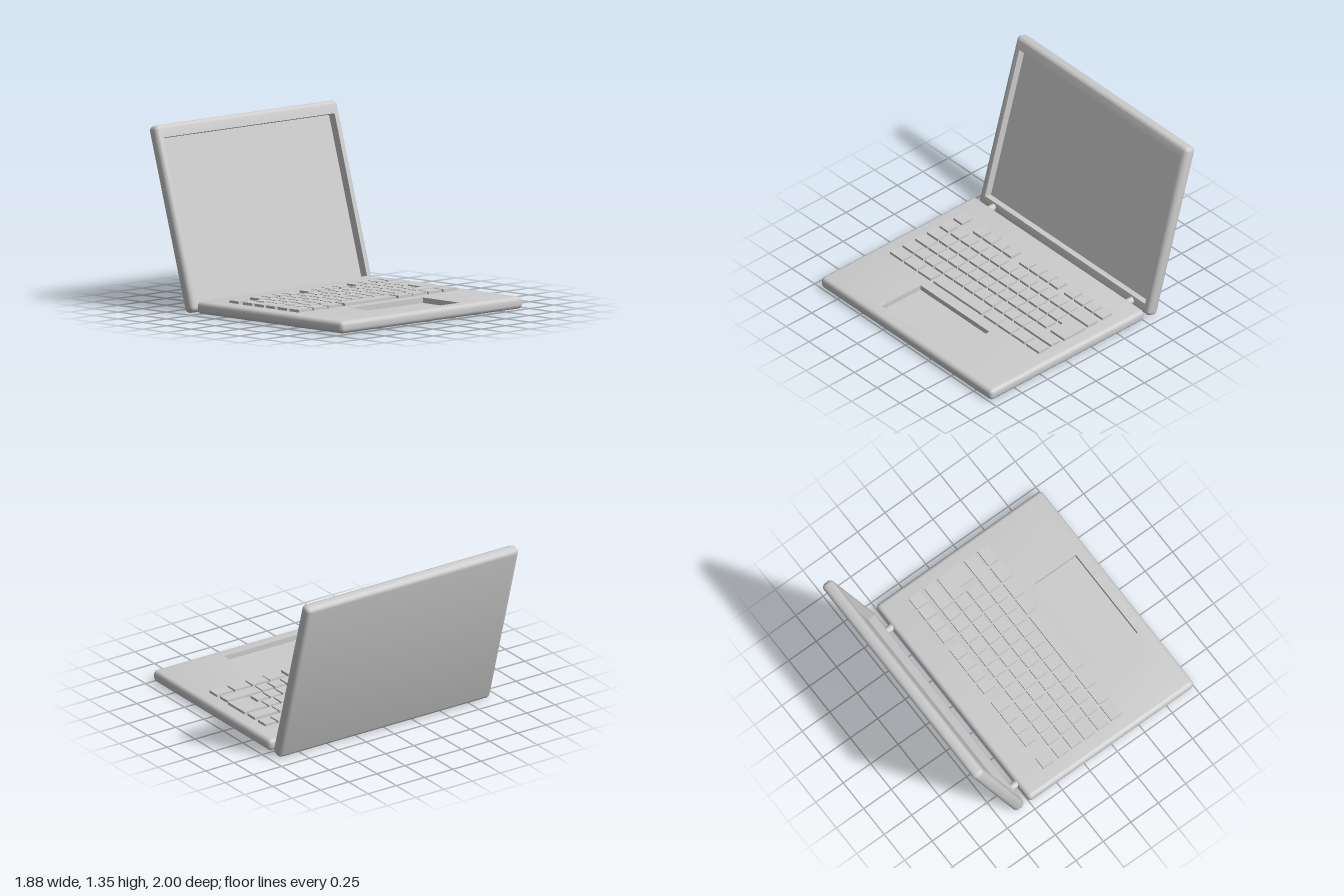
import * as THREE from 'three';
import { toCreasedNormals } from 'three/addons/utils/BufferGeometryUtils.js';

const material = new THREE.MeshStandardMaterial({ color: 0xcccccc });

function addMesh(parent, geometry, name, x = 0, y = 0, z = 0) {
  const mesh = new THREE.Mesh(geometry, material);
  mesh.name = name;
  mesh.position.set(x, y, z);
  parent.add(mesh);
  return mesh;
}

// Closed rounded-rectangle loop; halfX and halfZ reach the corner centres.
function ring(cz, halfX, halfZ, radius, y) {
  const points = [], steps = 4;
  for (let k = 0; k < 4; k++) {
    const sx = k === 0 || k === 3 ? 1 : -1, sz = k < 2 ? 1 : -1;
    for (let s = 0; s <= steps; s++) {
      const a = (k + s / steps) * Math.PI / 2;
      points.push(new THREE.Vector3(
        sx * halfX + radius * Math.cos(a), y, cz + sz * halfZ + radius * Math.sin(a)));
    }
  }
  return points;
}

// Rounded slab, centred, with a rectangular recess in its top face.
function recessedSlab(width, height, depth, r, recess) {
  const hx = width / 2 - r, hz = depth / 2 - r, hy = height / 2, steps = 4;
  const rings = [ring(0, 0, 0, 0, -hy)];
  for (const side of [-1, 1]) {
    for (let i = 0; i <= steps; i++) {
      const a = (side < 0 ? i - steps : i) / steps * Math.PI / 2;
      rings.push(ring(0, hx, hz, r * Math.cos(a), side * (hy - r) + r * Math.sin(a)));
    }
  }
  const { z, halfX, halfZ, drop } = recess;
  rings.push(ring(z, halfX, halfZ, 0, hy));
  rings.push(ring(z, halfX, halfZ, 0, hy - drop));
  rings.push(ring(z, 0, 0, 0, hy - drop));

  const positions = [];
  const triangle = (a, b, c) => {
    if (new THREE.Triangle(a, b, c).getArea() < 1e-9) return;
    for (const p of [a, b, c]) positions.push(p.x, p.y, p.z);
  };
  for (let i = 0; i < rings.length - 1; i++) {
    const low = rings[i], high = rings[i + 1], n = low.length;
    for (let j = 0; j < n; j++) {
      const k = (j + 1) % n;
      triangle(low[j], high[j], low[k]);
      triangle(low[k], high[j], high[k]);
    }
  }
  const geometry = new THREE.BufferGeometry();
  geometry.setAttribute('position', new THREE.Float32BufferAttribute(positions, 3));
  return toCreasedNormals(geometry, 0.6);
}

export function createModel() {
  const model = new THREE.Group();
  model.name = 'laptop';

  // Base with sunken touchpad
  addMesh(model, recessedSlab(1.88, 0.09, 1.506, 0.032,
    { z: 0.462, halfX: 0.378, halfZ: 0.19, drop: 0.04 }), 'baseWithTouchpad', 0, 0.052, 0.247);

  // Lid with deeply sunken screen, leaning back
  const lid = addMesh(model, recessedSlab(1.88, 0.095, 1.393, 0.035,
    { z: 0.008, halfX: 0.88, halfZ: 0.606, drop: 0.06 }), 'lidWithScreen', 0, 0.675, -0.771);
  lid.rotation.x = THREE.MathUtils.degToRad(74);

  // Hinge pins
  for (const [name, x] of [['leftHinge', 0.742], ['rightHinge', -0.777]]) {
    const pin = new THREE.CylinderGeometry(0.027, 0.027, 0.09, 16).rotateX(Math.PI / 2);
    addMesh(model, pin, name, x, 0.058, -0.525);
  }

  // Keyboard rows: centre z, then runs of [start x, key width, count]
  const keyboard = new THREE.Group();
  keyboard.name = 'keyboard';
  model.add(keyboard);
  const keyDepth = 0.096, pitch = 0.1092, unit = 0.095, bottom = 0.093, top = 0.117;
  const rows = [
    [-0.238, [-0.815, unit, 1], [-0.602, unit, 4], [-0.092, unit, 4], [0.4, unit, 4]],
    [-0.1, [-0.815, unit, 1], [-0.692, unit, 12], [0.615, 0.207, 1]],
    [0.021, [-0.815, 0.122, 1], [-0.682, unit, 12]],
    [0.138, [-0.815, 0.139, 1], [-0.667, unit, 12]],
    [0.26, [-0.815, 0.122, 1], [-0.682, unit, 11], [0.516, 0.302, 1]],
    [0.382, [-0.815, 0.139, 1], [-0.66, 0.139, 1], [-0.508, 0.139, 1], [-0.338, 0.53, 1],
      [0.217, 0.141, 1], [0.366, 0.143, 1], [0.524, 0.143, 1], [0.683, 0.141, 1]],
  ];
  for (const [z, ...runs] of rows) {
    for (const [start, width, count] of runs) {
      for (let i = 0; i < count; i++) {
        addMesh(keyboard, new THREE.BoxGeometry(width, top - bottom, keyDepth), 'key',
          start + width / 2 + i * pitch, (top + bottom) / 2, z);
      }
    }
  }

  // L-shaped enter key spanning two rows
  const outline = [[0.627, 0.027], [0.627, -0.069], [0.677, -0.069],
    [0.677, -0.187], [0.829, -0.187], [0.829, 0.027]];
  const enter = new THREE.ExtrudeGeometry(
    new THREE.Shape(outline.map(([x, y]) => new THREE.Vector2(x, y))),
    { depth: top - bottom, bevelEnabled: false });
  addMesh(keyboard, enter.rotateX(-Math.PI / 2), 'enterKey', 0, bottom, 0);

  return model;
}
